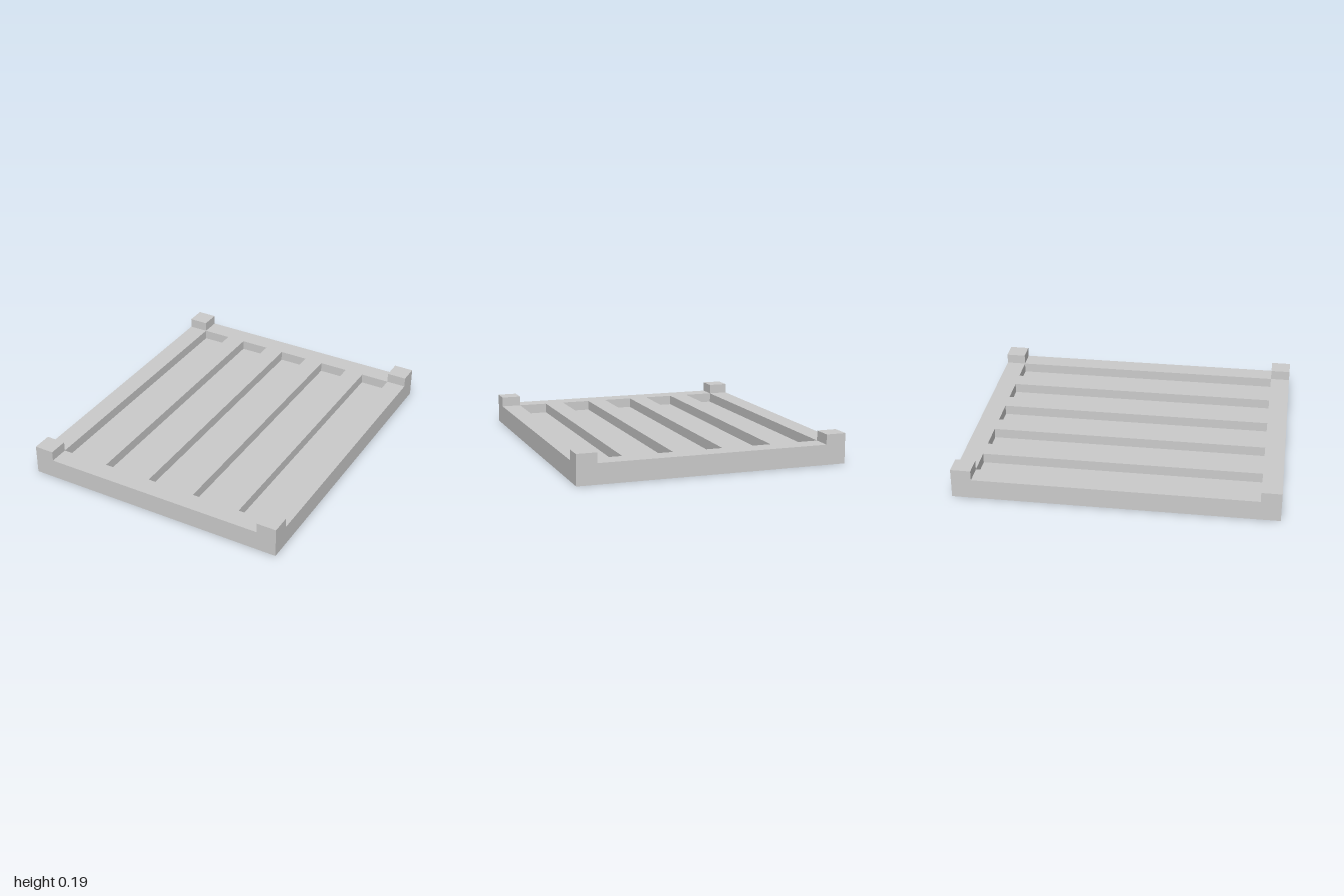
import * as THREE from 'three';

const U = 1 / 16;              // modelling unit
const WIDTH = 27 * U, LENGTH = 32 * U;
const RIM = 2 * U, SLOT = 3 * U, SLOTS = 5;
const SLAB = 2 * U, FLOOR = U, POST = U;

export function createModel() {
  const group = new THREE.Group();
  const material = new THREE.MeshStandardMaterial({ color: 0xcccccc, flatShading: true });

  const add = (name, geometry, x, y, z) => {
    const mesh = new THREE.Mesh(geometry, material);
    mesh.name = name;
    mesh.position.set(x, y, z);
    group.add(mesh);
    return mesh;
  };

  const rectangle = (target, x, y, w, h) => target
    .moveTo(x - w / 2, y - h / 2).lineTo(x + w / 2, y - h / 2)
    .lineTo(x + w / 2, y + h / 2).lineTo(x - w / 2, y + h / 2).closePath();

  // Slatted frame with evenly spaced slots, and the recessed floor of each slot
  const outline = rectangle(new THREE.Shape(), 0, 0, WIDTH, LENGTH);
  const slotLength = LENGTH - 2 * RIM;
  for (let i = 0; i < SLOTS; i++) {
    const x = (i - (SLOTS - 1) / 2) * (SLOT + RIM);
    outline.holes.push(rectangle(new THREE.Path(), x, 0, SLOT, slotLength));
    add('slotFloor', new THREE.BoxGeometry(SLOT, FLOOR, slotLength), x, FLOOR / 2, 0);
  }
  const frame = new THREE.ExtrudeGeometry(outline, { depth: SLAB, bevelEnabled: false });
  add('slattedFrame', frame.rotateX(-Math.PI / 2), 0, 0, 0);

  // Raised corner posts
  for (const sx of [-1, 1]) {
    for (const sz of [-1, 1]) {
      add('cornerPost', new THREE.BoxGeometry(RIM, POST, RIM),
        sx * (WIDTH - RIM) / 2, SLAB + POST / 2, sz * (LENGTH - RIM) / 2);
    }
  }
  return group;
}
